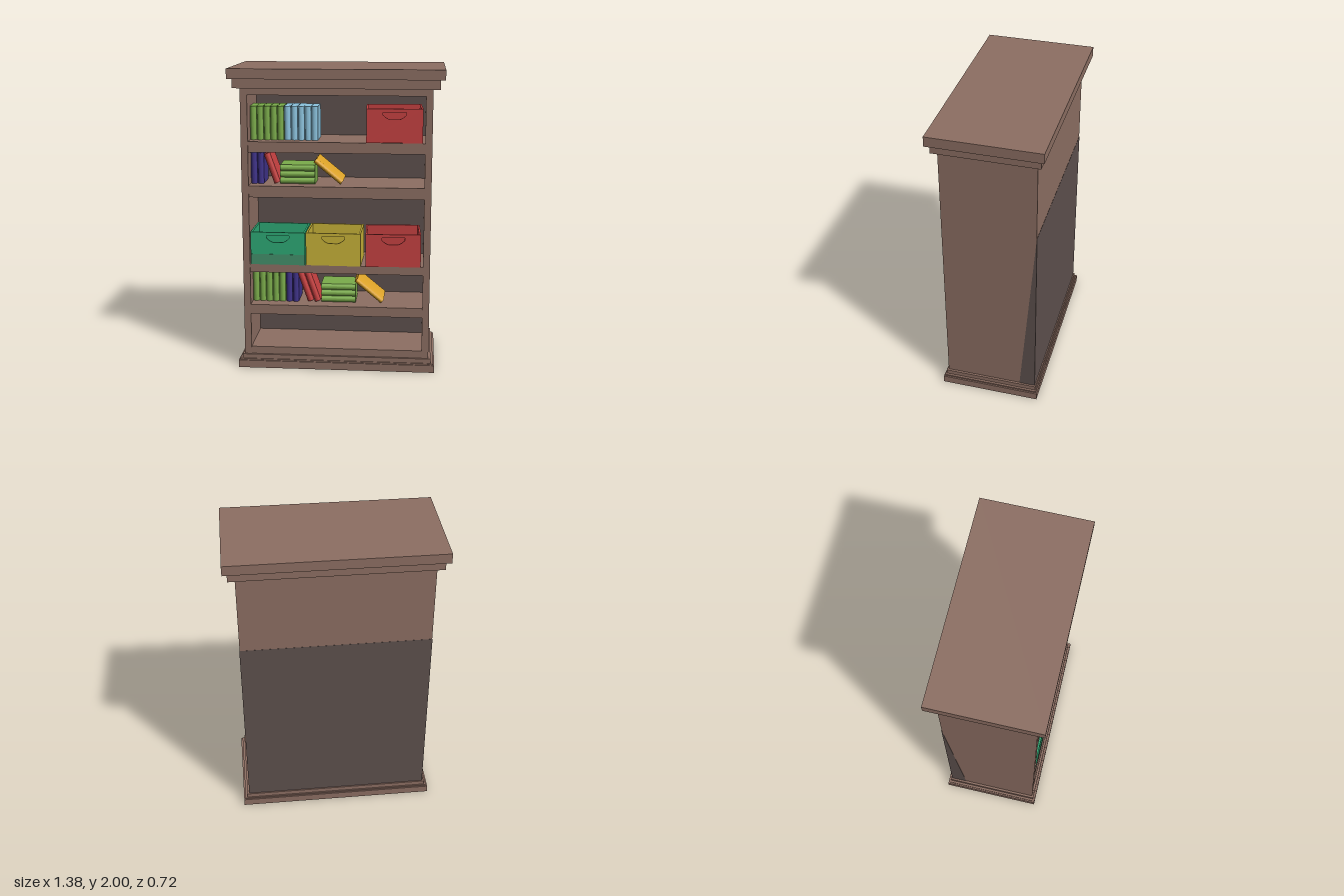
import * as THREE from 'three';
import { toCreasedNormals } from 'three/addons/utils/BufferGeometryUtils.js';

const paint = (name, color) => {
  const m = new THREE.MeshStandardMaterial({ color });
  m.name = name;
  return m;
};

export function createModel() {
  const wood = paint('wood', 0x8d6f63);
  const dark = paint('darkWood', 0x5e514e);
  const leaf = paint('leafGreen', 0x7bac4b);
  const sky = paint('skyBlue', 0x8cc3de);
  const purple = paint('purple', 0x40338a);
  const red = paint('red', 0xc44040);
  const gold = paint('gold', 0xd9a026);
  const teal = paint('binGreen', 0x2eab76);
  const dullTeal = paint('binGreenBand', 0x43916c);
  const yellow = paint('binYellow', 0xc9b339);

  const model = new THREE.Group();
  model.name = 'bookcase';

  const add = (parent, name, geo, mat, x = 0, y = 0, z = 0) => {
    const m = new THREE.Mesh(geo, mat);
    m.name = name;
    m.position.set(x, y, z);
    parent.add(m);
    return m;
  };
  // Box given by its lower and upper corners
  const box = (parent, name, mat, [x0, y0, z0], [x1, y1, z1]) =>
    add(parent, name, new THREE.BoxGeometry(x1 - x0, y1 - y0, z1 - z0), mat,
      (x0 + x1) / 2, (y0 + y1) / 2, (z0 + z1) / 2);

  // Crown and plinth mouldings: half width, bottom, top, half depth
  for (const [name, w, y0, y1, d] of [
    ['plinth', 0.655, 0, 0.05, 0.33],
    ['plinthStep', 0.645, 0.05, 0.06, 0.322],
    ['plinthTrim', 0.63, 0.06, 0.09, 0.315],
    ['crownTrim', 0.66, 1.875, 1.935, 0.335],
    ['crown', 0.69, 1.935, 2, 0.36],
  ]) box(model, name, wood, [-w, y0, -d], [w, y1, d]);

  // Carcass
  const inner = 0.57, backZ = -0.07, frontZ = 0.305;
  for (const s of [-1, 1]) {
    const a = s * inner, b = s * 0.615;
    box(model, 'sidePanel', wood, [Math.min(a, b), 0.09, -frontZ], [Math.max(a, b), 1.875, frontZ]);
  }
  box(model, 'backBlock', wood, [-inner, 0.09, -frontZ], [inner, 1.875, backZ]);
  box(model, 'backLining', dark, [-inner, 0.14, backZ], [inner, 1.83, backZ + 0.004]);
  box(model, 'topRail', wood, [-inner, 1.83, backZ], [inner, 1.875, frontZ]);
  for (const [y0, y1] of [[0.09, 0.14], [0.37, 0.435], [0.66, 0.715], [1.165, 1.24], [1.46, 1.53]])
    box(model, 'shelf', wood, [-inner, y0, backZ], [inner, y1, 0.3]);

  // Dark tapering panel showing on the lower back and side edges
  const wedge = new THREE.Shape();
  wedge.moveTo(-0.307, 0.06);
  wedge.lineTo(-0.2, 0.08);
  wedge.lineTo(-0.306, 1.34);
  wedge.lineTo(-0.307, 1.34);
  const wedgeGeo = new THREE.ExtrudeGeometry(wedge, { depth: 1.234, bevelEnabled: false });
  wedgeGeo.translate(0, 0, -0.617).rotateY(-Math.PI / 2);
  add(model, 'rearPanel', wedgeGeo, dark);

  // Book with a rounded spine facing forward, standing on its lower edge
  const makeBookGeometry = (t, h, d) => {
    const s = new THREE.Shape();
    s.moveTo(-t / 2, d);
    s.lineTo(t / 2, d);
    s.lineTo(t / 2, 0);
    s.quadraticCurveTo(0, -0.03, -t / 2, 0);
    const g = new THREE.ExtrudeGeometry(s, { depth: h, bevelEnabled: false, curveSegments: 8 });
    g.rotateX(-Math.PI / 2);
    return toCreasedNormals(g, 0.6);
  };
  const bookZ = 0.2, thick = 0.042;
  const tall = makeBookGeometry(thick, 0.22, 0.18);
  const medium = makeBookGeometry(thick, 0.205, 0.18);
  const flat = makeBookGeometry(thick, 0.23, 0.18);
  const slim = makeBookGeometry(0.034, 0.227, 0.2);

  const standing = (geo, mat, x, y, n) => {
    for (let i = 0; i < n; i++) add(model, 'uprightBook', geo, mat, x + 0.022 + i * 0.0445, y, bookZ);
  };
  const leaning = (geo, mat, x, y, angle, t) => {
    add(model, 'leaningBook', geo, mat, x, y + Math.sin(angle) * t / 2, bookZ).rotation.z = angle;
  };
  const stacked = (x, y) => {
    for (let i = 0; i < 3; i++)
      add(model, 'stackedBook', flat, leaf, x, y + thick * (i + 0.5), bookZ).rotation.z = -Math.PI / 2;
  };

  // Top row
  standing(tall, leaf, -0.57, 1.53, 5);
  standing(tall, sky, -0.346, 1.53, 5);
  // Second row
  standing(medium, purple, -0.57, 1.24, 2);
  leaning(medium, red, -0.395, 1.24, 0.34, thick);
  stacked(-0.375, 1.24);
  leaning(slim, gold, 0.03, 1.24, 0.88, 0.034);
  // Lower row
  standing(tall, leaf, -0.57, 0.435, 5);
  standing(tall, purple, -0.346, 0.435, 2);
  leaning(tall, red, -0.178, 0.435, 0.34, thick);
  leaning(tall, red, -0.131, 0.435, 0.34, thick);
  stacked(-0.107, 0.435);
  leaning(slim, gold, 0.302, 0.435, 0.88, 0.034);

  // Open storage bin with a cut-out handle in its front
  const bin = (mat, x, y, turn) => {
    const g = new THREE.Group();
    g.name = 'storageBin';
    const w = 0.18, h = 0.218, d = 0.145, t = 0.012;
    const face = new THREE.Shape();
    face.moveTo(-w, 0);
    face.lineTo(w, 0);
    face.lineTo(w, h);
    face.lineTo(-w, h);
    const hole = new THREE.Path();
    hole.moveTo(-0.074, h - 0.022);
    hole.lineTo(0.074, h - 0.022);
    hole.lineTo(0.074, h - 0.04);
    hole.quadraticCurveTo(0.045, h - 0.068, 0.025, h - 0.068);
    hole.lineTo(-0.025, h - 0.068);
    hole.quadraticCurveTo(-0.045, h - 0.068, -0.074, h - 0.04);
    face.holes.push(hole);
    add(g, 'binFront', new THREE.ExtrudeGeometry(face, { depth: t, bevelEnabled: false, curveSegments: 6 }),
      mat, 0, 0, d - t);
    box(g, 'binBack', mat, [-w, 0, -d], [w, h, -d + t]);
    box(g, 'binSide', mat, [-w, 0, -d + t], [-w + t, h, d - t]);
    box(g, 'binSide', mat, [w - t, 0, -d + t], [w, h, d - t]);
    box(g, 'binFloor', mat, [-w + t, 0, -d + t], [w - t, t, d - t]);
    g.position.set(x, y, 0.16);
    g.rotation.y = turn;
    model.add(g);
    return g;
  };
  bin(red, 0.368, 1.532, 0.045);
  bin(red, 0.368, 0.715, 0.045);
  bin(yellow, -0.016, 0.715, -0.02);
  const greenBin = bin(teal, -0.382, 0.715, -0.012);
  box(greenBin, 'binBand', dullTeal, [-0.18, 0, 0.145], [0.18, 0.07, 0.147]);

  return model;
}
